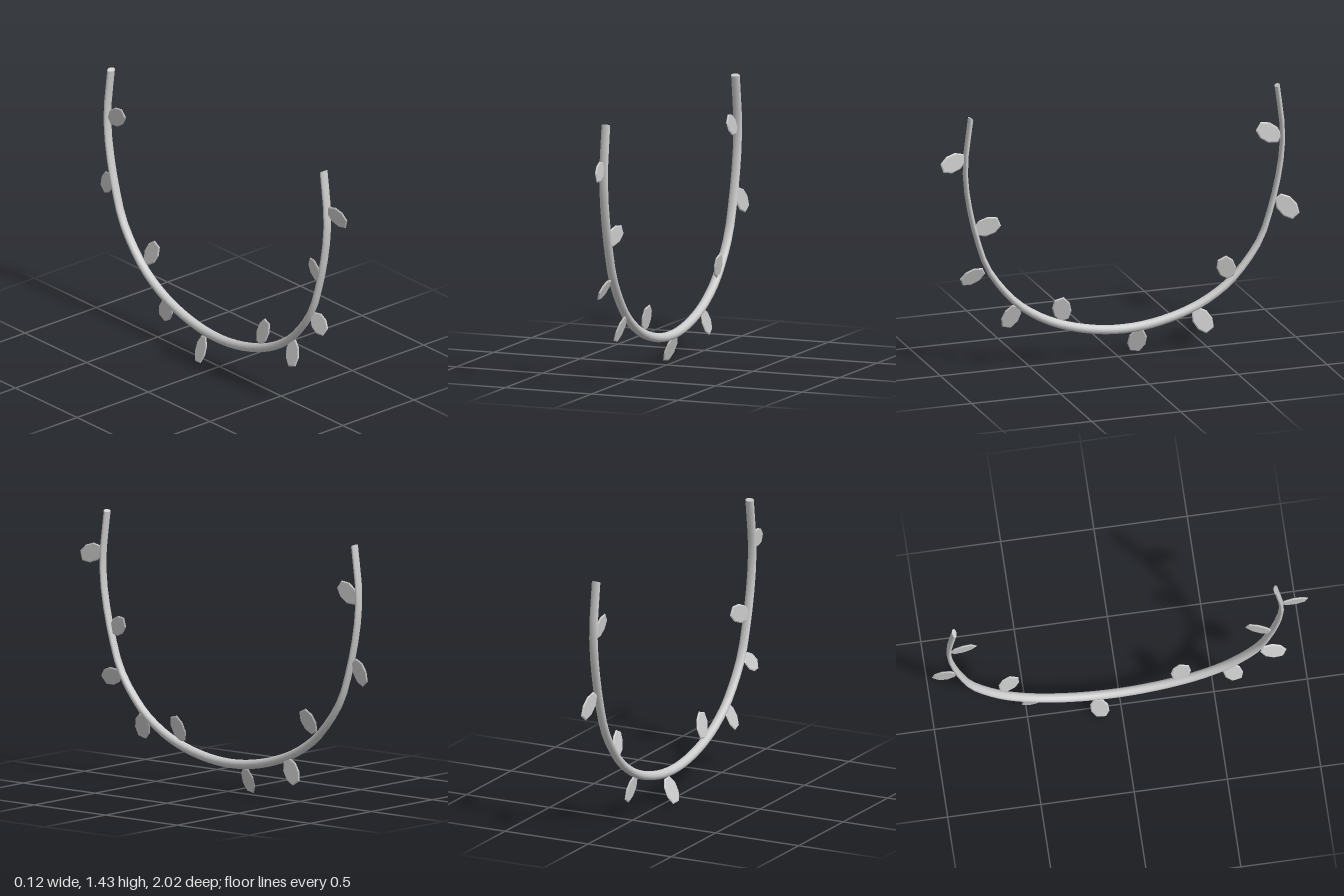
import * as THREE from 'three';

const material = new THREE.MeshStandardMaterial({ color: 0xcccccc });
const leafMaterial = new THREE.MeshStandardMaterial({ color: 0xcccccc, flatShading: true });
const X = 0.01, Z = -0.029, RADIUS = 0.025, SQUASH = 0.5;

// Half of the symmetric hanging arc: [distance from the middle, height]
const HALF = [
  [0.862, 1.422], [0.877, 1.31], [0.89, 1.2], [0.89, 1.07], [0.865, 0.9], [0.824, 0.735],
  [0.767, 0.575], [0.623, 0.383], [0.488, 0.281], [0.33, 0.21], [0.107, 0.161],
];

// Leaves: stem point, tip point, and the lean of the face normal in y and z
const LEAVES = [
  { base: [0.01, 1.208, 0.868], tip: [0.026, 1.165, 1.0], lean: [0.05, 0] },
  { base: [0.005, 0.785, 0.81], tip: [0.04, 0.84, 0.683], lean: [0, 0.25] },
  { base: [0.0, 0.56, 0.755], tip: [-0.015, 0.505, 0.877], lean: [-0.42, 0] },
  { base: [0.015, 0.352, 0.58], tip: [-0.028, 0.222, 0.62], lean: [-0.3, 0] },
  { base: [0.01, 0.24, 0.305], tip: [0.038, 0.372, 0.345], lean: [-0.2, 0.1] },
  { base: [-0.003, 0.137, -0.122], tip: [-0.054, 0.004, -0.112], lean: [-0.4, 0.2] },
  { base: [0.02, 0.222, -0.425], tip: [0.034, 0.102, -0.505], lean: [0.1, 0] },
  { base: [0.025, 0.385, -0.625], tip: [0.052, 0.505, -0.565], lean: [-0.2, 0] },
  { base: [0.015, 0.803, -0.893], tip: [0.035, 0.688, -0.988], lean: [0.05, 0.2] },
  { base: [0.01, 1.12, -0.905], tip: [0.008, 1.202, -0.785], lean: [0.1, 0] },
];

// Vine: a tube swept along the arc, narrowed along z
function makeVine() {
  const group = new THREE.Group();
  group.name = 'vine';
  const point = (d, y) => new THREE.Vector3(0, y, d / SQUASH);
  const points = [
    ...HALF.map(([d, y]) => point(d, y)),
    ...HALF.slice().reverse().map(([d, y]) => point(-d, y)),
  ];
  const curve = new THREE.CatmullRomCurve3(points, false, 'centripetal');
  const add = (geometry, name) => {
    geometry.scale(1, 1, SQUASH).translate(X, 0, Z);
    const mesh = new THREE.Mesh(geometry, material);
    mesh.name = name;
    group.add(mesh);
  };
  add(new THREE.TubeGeometry(curve, 48, RADIUS, 16), 'stem');

  // Flat caps on both ends
  for (const t of [0, 1]) {
    const out = curve.getTangent(t).multiplyScalar(t ? 1 : -1);
    const turn = new THREE.Quaternion().setFromUnitVectors(new THREE.Vector3(0, 0, 1), out);
    const end = curve.getPoint(t);
    const cap = new THREE.CircleGeometry(RADIUS, 16).applyQuaternion(turn);
    add(cap.translate(end.x, end.y, end.z), t ? 'backCap' : 'frontCap');
  }
  return group;
}

// Leaf blade: a thin bevelled eight-sided oval, growing from 0 to 1 along y
function makeLeafGeometry() {
  const outline = [[0.018, 0.004], [0.042, 0.042], [0.043, 0.09], [0.022, 0.129]];
  const corners = [...outline, ...outline.slice().reverse().map(([x, y]) => [-x, y])];
  const shape = new THREE.Shape(corners.map(([x, y]) => new THREE.Vector2(x, y)));
  const geometry = new THREE.ExtrudeGeometry(shape, {
    depth: 0.002, bevelEnabled: true, bevelThickness: 0.004, bevelSize: 0.006, bevelSegments: 1,
  });
  return geometry.translate(0, 0.002, -0.001).scale(1, 1 / 0.137, 1);
}

export function createModel() {
  const model = new THREE.Group();
  model.name = 'leafyVine';
  model.add(makeVine());

  const leafGeometry = makeLeafGeometry();
  LEAVES.forEach(({ base, tip, lean }, i) => {
    const start = new THREE.Vector3(...base);
    const along = new THREE.Vector3(...tip).sub(start);
    const length = along.length();
    along.normalize();
    const across = along.clone().cross(new THREE.Vector3(1, ...lean)).normalize();
    const normal = across.clone().cross(along);
    const leaf = new THREE.Mesh(leafGeometry, leafMaterial);
    leaf.name = `leaf${i + 1}`;
    leaf.quaternion.setFromRotationMatrix(new THREE.Matrix4().makeBasis(across, along, normal));
    leaf.position.copy(start);
    leaf.scale.y = length;
    model.add(leaf);
  });
  return model;
}
